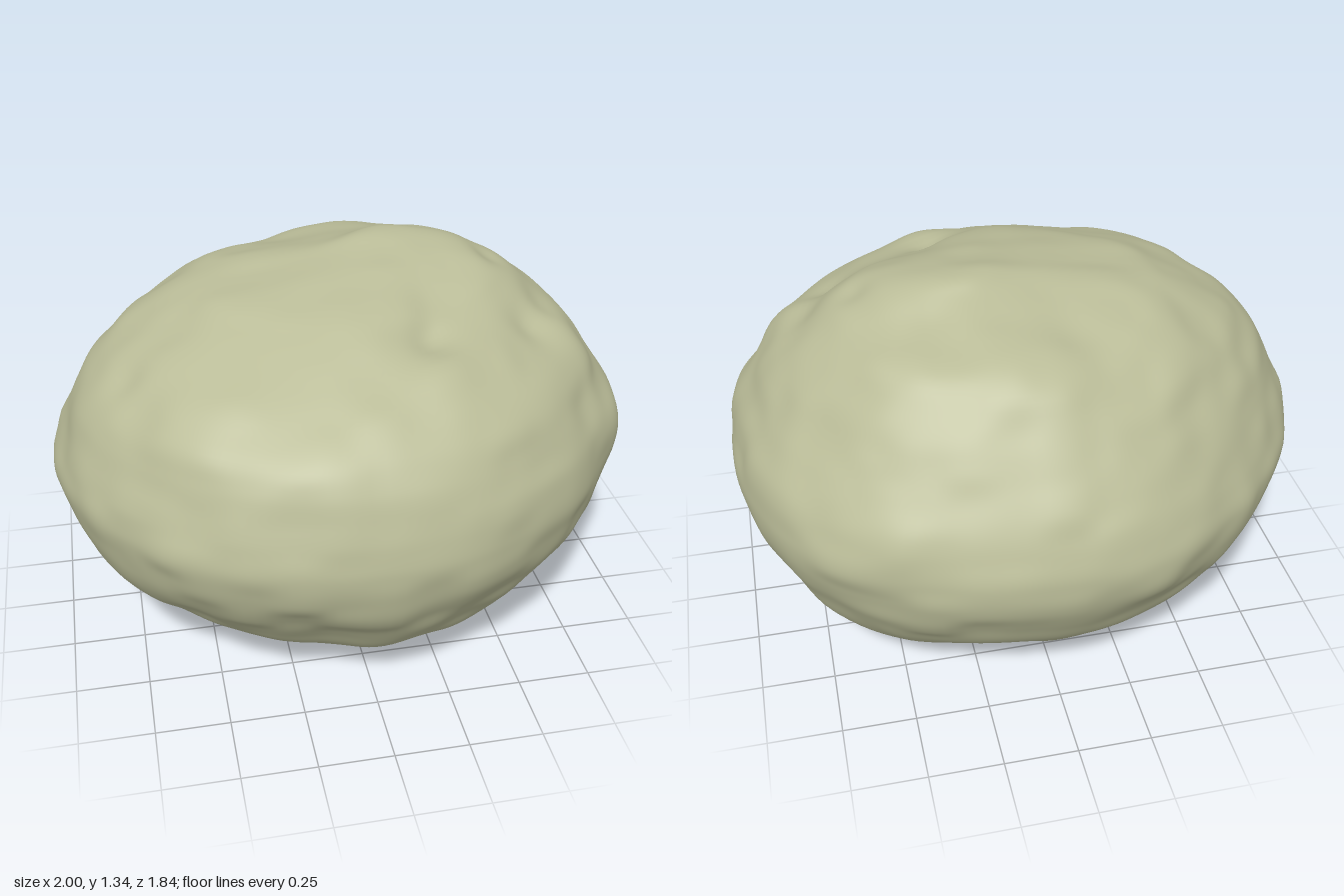
import * as THREE from 'three';

// Smooth seeded value noise in [-1, 1]
function hash(x, y, z) {
  let h = Math.imul(x, 374761393) ^ Math.imul(y, 668265263) ^ Math.imul(z, 1274126177) ^ 9176;
  h = Math.imul(h ^ (h >>> 13), 1103515245);
  return ((h ^ (h >>> 16)) >>> 0) / 2147483648 - 1;
}
function noise(x, y, z) {
  const f = [x, y, z].map(Math.floor);
  const [u, v, w] = [x - f[0], y - f[1], z - f[2]].map((t) => t * t * t * (t * (t * 6 - 15) + 10));
  let sum = 0;
  for (let i = 0; i < 8; i++) {
    const a = i & 1, b = (i >> 1) & 1, c = i >> 2;
    sum += hash(f[0] + a, f[1] + b, f[2] + c) * (a ? u : 1 - u) * (b ? v : 1 - v) * (c ? w : 1 - w);
  }
  return sum;
}

// Sections up the stone: [height, least x, greatest x, back z, front z]
const SECTIONS = [
  [0.0, 0.02, 0.02, 0.0, 0.0], [0.005, -0.12, 0.14, -0.13, 0.14], [0.03, -0.27, 0.36, -0.31, 0.31],
  [0.1, -0.54, 0.56, -0.53, 0.5], [0.2, -0.73, 0.73, -0.68, 0.68], [0.3, -0.84, 0.85, -0.78, 0.77],
  [0.4, -0.92, 0.92, -0.84, 0.84], [0.49, -0.96, 0.965, -0.89, 0.89], [0.575, -0.985, 0.99, -0.92, 0.915],
  [0.66, -1.0, 1.0, -0.925, 0.925], [0.74, -0.98, 0.99, -0.9, 0.91], [0.82, -0.945, 0.965, -0.865, 0.885],
  [0.91, -0.905, 0.905, -0.81, 0.845], [1.0, -0.84, 0.84, -0.74, 0.78],
  [1.1, -0.73, 0.76, -0.66, 0.64], [1.2, -0.54, 0.63, -0.56, 0.43], [1.25, -0.4, 0.55, -0.42, 0.31],
  [1.3, -0.07, 0.44, -0.25, 0.11], [1.33, 0.1, 0.3, -0.18, -0.04], [1.335, 0.2, 0.2, -0.12, -0.12],
];
// Local hollows and lips: [x, y, z, radius, height along the normal]
const MARKS = [
  [0.3, 1.22, 0.28, 0.18, -0.025], [0.22, 1.17, 0.4, 0.08, -0.035], [0.25, 1.11, 0.53, 0.1, 0.025],
  [0.52, 1.22, -0.04, 0.06, -0.025], [0.68, 1.1, 0.1, 0.08, -0.03], [0.6, 1.1, 0.24, 0.08, -0.035],
  [0.77, 1.03, 0.22, 0.1, 0.015], [0.32, 1.28, -0.3, 0.09, -0.02], [-0.15, 1.22, -0.42, 0.15, -0.025],
  [-0.72, 1.04, 0.25, 0.07, -0.02], [-0.2, 0.3, 0.77, 0.16, -0.02], [0.9, 0.72, 0.3, 0.1, 0.015],
  [-0.88, 0.32, 0.18, 0.15, -0.02], [-0.6, 0.33, 0.6, 0.14, -0.02], [-0.38, 0.08, 0.4, 0.25, -0.015],
  [0.65, 0.22, -0.45, 0.25, 0.025],
];

// Four-way cubic sampling of the section table
function section(t) {
  const s = t * (SECTIONS.length - 1), i = Math.min(Math.floor(s), SECTIONS.length - 2), f = s - i;
  const at = (k) => SECTIONS[Math.max(0, Math.min(SECTIONS.length - 1, k))];
  return SECTIONS[i].map((_, k) => {
    const [a, b, c, d] = [at(i - 1)[k], at(i)[k], at(i + 1)[k], at(i + 2)[k]];
    return b + 0.5 * f * (c - a + f * (2 * a - 5 * b + 4 * c - d + f * (3 * (b - c) + d - a)));
  });
}

function stoneGeometry() {
  const rings = 120, sides = 180, points = [], index = [];
  // Fullness of each diagonal, going round from +x to +z
  const corner = [-0.03, 0.005, -0.03, 0.035];
  points.push(0.02, 0, 0);
  for (let i = 1; i < rings; i++) {
    const [y, x0, x1, z0, z1] = section(i / rings);
    for (let j = 0; j < sides; j++) {
      const a = (j / sides) * Math.PI * 2;
      const k = 1 + corner[Math.floor((j / sides) * 4)] * Math.sin(2 * a) ** 2;
      points.push((x0 + x1) / 2 + ((x1 - x0) / 2) * k * Math.cos(a), y, (z0 + z1) / 2 + ((z1 - z0) / 2) * k * Math.sin(a));
    }
  }
  points.push(0.2, 1.335, -0.12);
  const last = points.length / 3 - 1, top = last - sides;
  for (let j = 0; j < sides; j++) {
    const n = (j + 1) % sides;
    index.push(0, 1 + j, 1 + n, last, top + n, top + j);
    for (let i = 0; i < rings - 2; i++) {
      const a = 1 + i * sides + j, b = 1 + i * sides + n;
      index.push(a, a + sides, b, b, a + sides, b + sides);
    }
  }
  const geo = new THREE.BufferGeometry();
  geo.setAttribute('position', new THREE.Float32BufferAttribute(points, 3));
  geo.setIndex(index);
  geo.computeVertexNormals();

  // Weathered surface: soft undulation plus the placed hollows and lips
  const pos = geo.attributes.position, nor = geo.attributes.normal;
  const p = new THREE.Vector3(), n = new THREE.Vector3();
  for (let i = 0; i < pos.count; i++) {
    p.fromBufferAttribute(pos, i);
    n.fromBufferAttribute(nor, i);
    let d = 0.01 * noise(p.x * 3.5 + 7, p.y * 5, p.z * 3.5) + 0.008 * noise(p.x * 7, p.y * 9 + 3, p.z * 7);
    for (const [x, y, z, r, h] of MARKS) {
      d += h * Math.exp(-((p.x - x) ** 2 + (p.y - y) ** 2 + (p.z - z) ** 2) / (r * r));
    }
    p.addScaledVector(n, d);
    pos.setXYZ(i, p.x, p.y, p.z);
  }

  // Centre and stand on the ground
  geo.computeBoundingBox();
  const mid = geo.boundingBox.getCenter(new THREE.Vector3());
  geo.translate(-mid.x, -geo.boundingBox.min.y, -mid.z);
  geo.computeVertexNormals();
  return geo;
}

export function createModel() {
  const group = new THREE.Group();
  group.name = 'boulder';
  const stone = new THREE.MeshStandardMaterial({ color: 0xbabc98 });
  stone.name = 'pale olive stone';
  const mesh = new THREE.Mesh(stoneGeometry(), stone);
  mesh.name = 'stone';
  group.add(mesh);
  return group;
}
